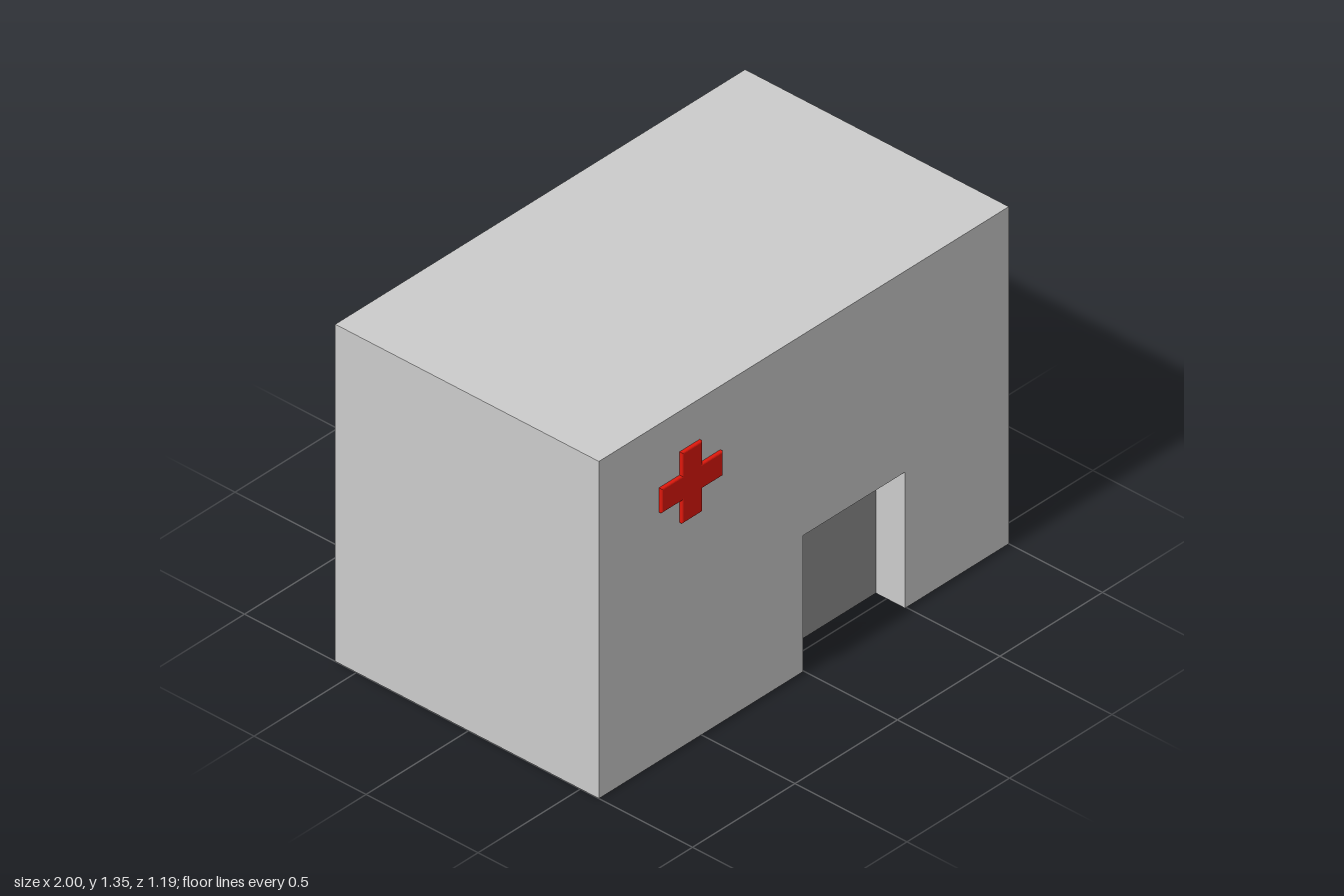
import * as THREE from 'three';

const W = 1, H = 1.35, BACK = -0.595, FRONT = 0.582;      // building shell
const D0 = -0.003, D1 = 0.494, DH = 0.545, DZ = 0.452;    // doorway and door plane

export function createModel() {
  const model = new THREE.Group();
  model.name = 'clinicBuilding';
  const wall = new THREE.MeshStandardMaterial({ color: 0xcccccc, side: THREE.DoubleSide });
  const doorGrey = new THREE.MeshStandardMaterial({ color: 0x8e8e8e, side: THREE.DoubleSide });
  const red = new THREE.MeshStandardMaterial({ color: 0xe0180c });

  const add = (name, geometry, material = wall) => {
    const mesh = new THREE.Mesh(geometry, material);
    mesh.name = name;
    model.add(mesh);
    return mesh;
  };
  // Flat panel centred at (x, y, z), turned about x then y
  const panel = (name, w, h, x, y, z, rx = 0, ry = 0, material = wall) => {
    const mesh = add(name, new THREE.PlaneGeometry(w, h), material);
    mesh.position.set(x, y, z);
    mesh.rotation.set(rx, ry, 0);
  };
  const shapeFrom = (pts) => new THREE.Shape(pts.map(([x, y]) => new THREE.Vector2(x, y)));

  // Hollow shell: front wall notched for the doorway
  const front = shapeFrom([[-W, 0], [D0, 0], [D0, DH], [D1, DH], [D1, 0], [W, 0], [W, H], [-W, H]]);
  add('frontWall', new THREE.ShapeGeometry(front)).position.z = FRONT;
  const depth = FRONT - BACK, midZ = (FRONT + BACK) / 2, q = Math.PI / 2;
  panel('backWall', 2 * W, H, 0, H / 2, BACK, 0, Math.PI);
  panel('leftWall', depth, H, W, H / 2, midZ, 0, q);
  panel('rightWall', depth, H, -W, H / 2, midZ, 0, -q);
  panel('roof', 2 * W, depth, 0, H, midZ, -q);

  // Base strips on each side of the open doorway
  for (const [name, a, b] of [['rightBase', -W, D0], ['leftBase', D1, W]])
    panel(name, b - a, depth, (a + b) / 2, 0, midZ, q);

  // Doorway recess and door
  const recess = FRONT - DZ, recessZ = (FRONT + DZ) / 2, doorX = (D0 + D1) / 2;
  panel('rightJamb', recess, DH, D0, DH / 2, recessZ, 0, q);
  panel('leftJamb', recess, DH, D1, DH / 2, recessZ, 0, -q);
  panel('lintel', D1 - D0, recess, doorX, DH, recessZ, q);
  panel('door', D1 - D0, DH, doorX, DH / 2, DZ, 0, 0, doorGrey);

  // Raised cross sign with softened edges
  const w = 0.15, h = 0.142, t = 0.049, bevel = 0.006;
  const cross = shapeFrom([
    [-t, -h], [t, -h], [t, -t], [w, -t], [w, t], [t, t],
    [t, h], [-t, h], [-t, t], [-w, t], [-w, -t], [-t, -t],
  ]);
  const sign = add('crossSign', new THREE.ExtrudeGeometry(cross, {
    depth: 0.008, bevelThickness: bevel, bevelSize: bevel, bevelOffset: -bevel, bevelSegments: 3,
  }), red);
  sign.position.set(-0.557, 1.046, 0.595 - bevel - 0.008);

  return model;
}
